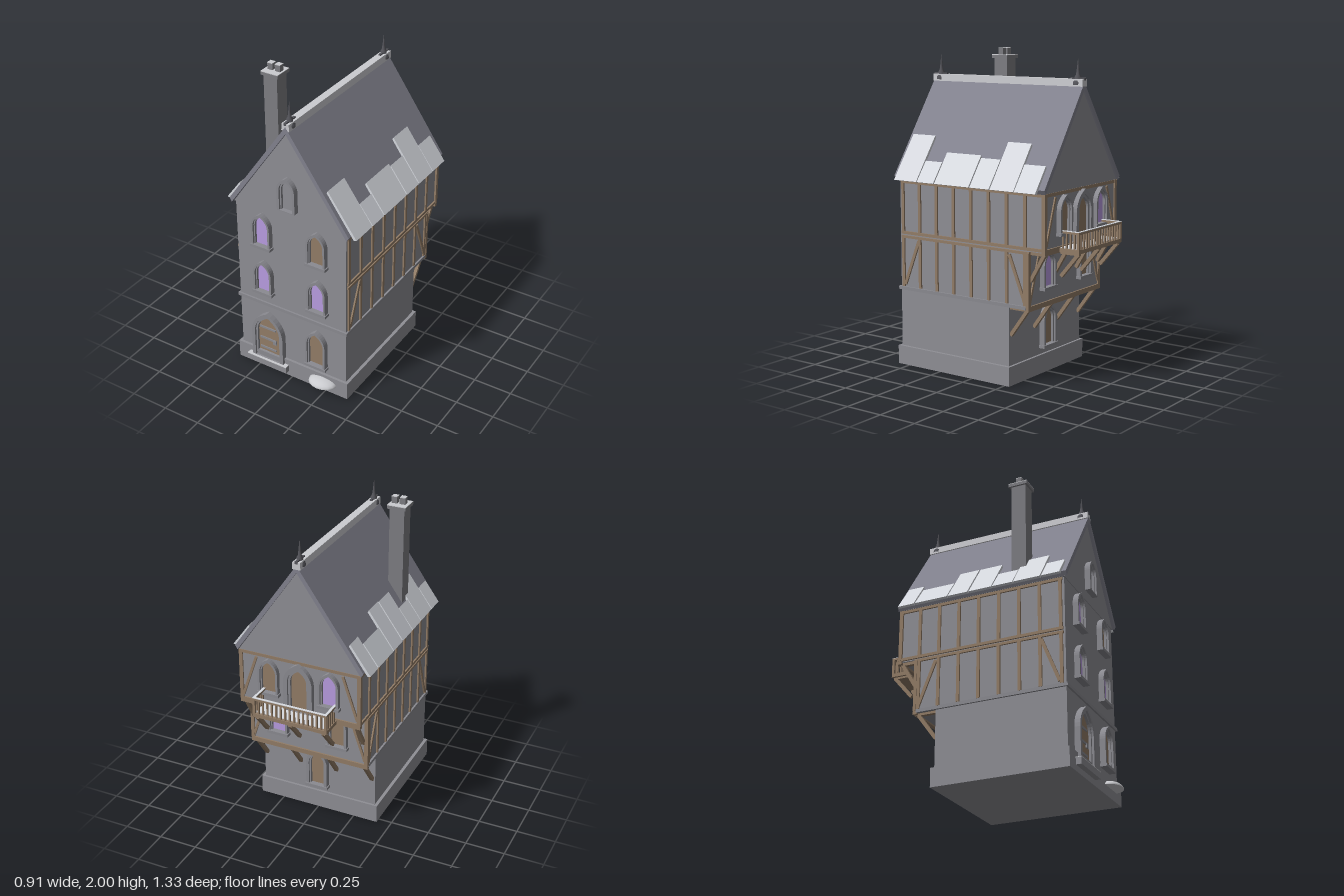
import * as THREE from 'three';

const mat = (name, color) => {
  const m = new THREE.MeshStandardMaterial({ color });
  m.name = name;
  return m;
};

export function createModel() {
  const stone = mat('wall stone', 0x8f8f95);
  const trim = mat('trim stone', 0x8b8b91);
  const chimneyStone = mat('chimney stone', 0x7e7e83);
  const slate = mat('roof slate', 0x83838f);
  const frost = mat('frosted slate', 0xd8dbe1);
  const timber = mat('timber', 0x937d67);
  const glass = mat('violet glass', 0xb99de2);
  const iron = mat('dark iron', 0x55555b);
  const pale = mat('pale stone', 0xcbccd0);

  const house = new THREE.Group();
  house.name = 'townHouse';

  const add = (name, geo, m, parent = house) => {
    const mesh = new THREE.Mesh(geo, m);
    mesh.name = name;
    parent.add(mesh);
    return mesh;
  };
  // Box given by its extents
  const box = (name, m, x0, x1, y0, y1, z0, z1, parent) => {
    const b = add(name, new THREE.BoxGeometry(x1 - x0, y1 - y0, z1 - z0), m, parent);
    b.position.set((x0 + x1) / 2, (y0 + y1) / 2, (z0 + z1) / 2);
    return b;
  };
  // Square beam between two points
  const beam = (name, a, b, t = 0.022, t2 = t) => {
    const p = new THREE.Vector3(...a), q = new THREE.Vector3(...b);
    const mesh = add(name, new THREE.BoxGeometry(t, t2, p.distanceTo(q)), timber);
    mesh.position.copy(p).add(q).multiplyScalar(0.5);
    mesh.lookAt(q);
    return mesh;
  };
  const polygon = pts => new THREE.Shape(pts.map(p => new THREE.Vector2(...p)));
  const extrude = (shape, depth) =>
    new THREE.ExtrudeGeometry(shape, { depth, bevelEnabled: false, curveSegments: 8 });

  // Storeys, jettied out at the back
  box('plinth', stone, -0.41, 0.41, 0, 0.12, -0.285, 0.587);
  box('groundFloor', stone, -0.39, 0.39, 0.12, 0.49, -0.27, 0.57);
  box('middleFloor', stone, -0.39, 0.39, 0.49, 0.84, -0.41, 0.57);
  box('upperFloor', stone, -0.39, 0.39, 0.84, 1.2, -0.525, 0.57);
  box('stringCourse', trim, -0.402, 0.402, 0.487, 0.508, -0.4, 0.582);

  // Gable and roof
  add('gable', extrude(polygon([[-0.4, 1.19], [0.4, 1.19], [0, 1.775]]), 1.105), stone).position.z = -0.53;
  add('roof', extrude(polygon([[0, 1.815], [-0.42, 1.214], [-0.405, 1.188], [0, 1.77], [0.405, 1.188], [0.42, 1.214]]), 1.135), slate)
    .position.z = -0.542;
  add('ridgeCap', extrude(polygon([[-0.027, 1.79], [0.027, 1.79], [0.024, 1.834], [-0.024, 1.834]]), 1.135), pale)
    .position.z = -0.543;

  // Eaves shingles: z start, z end, x of the upper edge
  const slopeY = x => 1.815 - 1.43 * x;
  const rows = {
    '1': [[-0.5, -0.35, 0.345], [-0.345, -0.175, 0.265], [-0.168, -0.025, 0.335], [-0.017, 0.245, 0.325],
      [0.253, 0.382, 0.365], [0.388, 0.565, 0.262]],
    '-1': [[-0.52, -0.41, 0.325], [-0.4, -0.18, 0.355], [-0.172, -0.04, 0.288], [-0.03, 0.12, 0.29],
      [0.127, 0.26, 0.36], [0.265, 0.44, 0.298], [0.448, 0.565, 0.36]],
  };
  for (const side of [1, -1]) {
    for (const [z0, z1, x] of rows[side]) {
      const s = polygon([[x * side, slopeY(x) + 0.025], [(x - 0.008) * side, slopeY(x) + 0.01],
        [0.437 * side, slopeY(0.437)], [0.456 * side, slopeY(0.456) + 0.032]]);
      add('shingle', extrude(s, z1 - z0), frost).position.z = z0;
    }
  }

  // Finials
  const finialProfile = [[0.034, 1.8], [0.033, 1.818], [0.018, 1.836], [0.021, 1.846], [0.012, 1.86], [0.008, 1.89], [0.001, 1.955]]
    .map(p => new THREE.Vector2(...p));
  for (const z of [0.545, -0.495]) {
    add('finial', new THREE.LatheGeometry(finialProfile, 10), iron).position.z = z;
    box('finialFoot', iron, -0.008, 0.008, 1.825, 1.842, z - 0.05, z + 0.05);
  }

  // Chimney with pale top faces
  box('chimneyShaft', chimneyStone, -0.345, -0.25, 1.2, 1.935, 0.207, 0.305);
  box('chimneyCap', chimneyStone, -0.357, -0.236, 1.932, 1.952, 0.195, 0.317);
  box('chimneyCapTop', pale, -0.357, -0.236, 1.952, 1.956, 0.195, 0.317);
  for (const x of [-0.319, -0.266]) {
    box('chimneyPot', chimneyStone, x - 0.018, x + 0.018, 1.95, 1.996, 0.238, 0.274);
    box('chimneyPotTop', pale, x - 0.018, x + 0.018, 1.996, 2, 0.238, 0.274);
  }

  // Pointed arch openings
  const arch = (path, w, h, y0 = 0) => {
    path.moveTo(-w, y0);
    path.lineTo(w, y0);
    path.lineTo(w, h - 1.4 * w);
    path.quadraticCurveTo(w * 0.95, h - 0.5 * w, 0, h);
    path.quadraticCurveTo(-w * 0.95, h - 0.5 * w, -w, h - 1.4 * w);
    path.lineTo(-w, y0);
    return path;
  };
  const ring = (name, parent, w, h, wi, hi, depth) => {
    const s = arch(new THREE.Shape(), w, h);
    s.holes.push(arch(new THREE.Path(), wi, hi, 0.004));
    add(name, extrude(s, depth), trim, parent);
  };
  const opening = (name, x, y, z, w, h, pane, { back = false, sill = true, rim = 0.021 } = {}) => {
    const g = new THREE.Group();
    g.name = name;
    g.position.set(x, y, z);
    if (back) g.rotation.y = Math.PI;
    house.add(g);
    ring('surround', g, w, h, w - rim * 0.65, h - rim * 0.75, 0.037);
    ring('innerSurround', g, w - rim * 0.6, h - rim * 0.7, w - rim, h - rim * 1.2, 0.024);
    add('pane', extrude(arch(new THREE.Shape(), w - rim * 0.9, h - rim), 0.008), pane, g);
    if (sill) box('sill', trim, -w - 0.006, w + 0.006, -0.014, 0.004, 0, 0.043, g);
    return g;
  };
  // Front
  opening('window', -0.197, 0.94, 0.568, 0.066, 0.228, glass);
  opening('window', 0.195, 0.94, 0.568, 0.066, 0.228, timber);
  for (const x of [-0.197, 0.195]) opening('window', x, 0.598, 0.568, 0.066, 0.226, glass);
  opening('window', 0.185, 0.178, 0.57, 0.072, 0.262, timber);
  opening('gableWindow', 0, 1.258, 0.574, 0.062, 0.225, stone, { sill: false, rim: 0.025 });
  // Back
  opening('window', 0, 0.178, -0.274, 0.072, 0.262, timber, { back: true, rim: 0.028 });
  opening('window', 0.2, 0.598, -0.405, 0.066, 0.226, glass, { back: true });
  opening('window', -0.2, 0.598, -0.405, 0.066, 0.226, timber, { back: true });
  opening('window', 0.2, 0.94, -0.519, 0.066, 0.228, timber, { back: true });
  opening('window', -0.2, 0.94, -0.519, 0.066, 0.228, glass, { back: true });
  opening('balconyDoor', 0, 0.855, -0.519, 0.095, 0.325, timber, { back: true, sill: false, rim: 0.042 });

  // Front door with straps and step
  const door = opening('frontDoor', -0.173, 0.08, 0.57, 0.116, 0.358, timber, { sill: false, rim: 0.035 });
  box('threshold', trim, -0.085, 0.085, 0, 0.04, 0, 0.025, door);
  for (const y of [0.06, 0.135, 0.22]) box('strap', trim, -0.07, 0.05, y, y + 0.014, 0.006, 0.014, door);
  box('latch', trim, 0.03, 0.055, 0.118, 0.145, 0.006, 0.018, door);
  box('doorStep', stone, -0.322, -0.025, 0.037, 0.079, 0.56, 0.622);
  box('doorStepTop', pale, -0.322, -0.025, 0.079, 0.083, 0.56, 0.622);

  // Low mound against the plinth
  const mound = add('mound', new THREE.SphereGeometry(1, 16, 6, 0, Math.PI * 2, 0, Math.PI / 2), pale);
  mound.scale.set(0.097, 0.038, 0.075);
  mound.position.set(0.232, 0.062, 0.588);
  const moundBase = add('moundBase', new THREE.CircleGeometry(1, 16), pale);
  moundBase.rotation.x = Math.PI / 2;
  moundBase.scale.set(0.097, 0.075, 1);
  moundBase.position.copy(mound.position);

  // Timber framing on the side walls
  for (const side of [1, -1]) {
    const x0 = side > 0 ? 0.385 : -0.4, x1 = x0 + 0.015, xm = (x0 + x1) / 2;
    for (let i = 0; i < 9; i++) {
      const z = 0.545 - i * 0.1335;
      if (i < 8) box('post', timber, x0, x1, 0.51, 0.83, z - 0.01, z + 0.01);
      box('post', timber, x0, x1, 0.86, 1.18, z - 0.01, z + 0.01);
    }
    box('rail', timber, x0, x1, 0.822, 0.838, -0.42, 0.56);
    box('rail', timber, x0, x1, 0.847, 0.865, -0.53, 0.56);
    box('rail', timber, x0, x1, 1.17, 1.188, -0.53, 0.56);
    beam('brace', [xm, 0.525, 0.532], [xm, 0.81, 0.42], 0.015, 0.02);
    beam('brace', [xm, 0.525, -0.39], [xm, 0.81, -0.275], 0.015, 0.02);
    // Back corners
    const c = side * 0.39;
    box('cornerPost', timber, c - 0.012, c + 0.012, 0.5, 0.83, -0.42, -0.4);
    box('cornerPost', timber, c - 0.012, c + 0.012, 0.85, 1.19, -0.534, -0.51);
    beam('brace', [side * 0.38, 0.53, -0.409], [side * 0.285, 0.81, -0.409], 0.02, 0.016);
    beam('brace', [side * 0.38, 0.88, -0.524], [side * 0.285, 1.16, -0.524], 0.02, 0.016);
  }
  // Back rails and jetty beams
  box('jettyBeam', timber, -0.4, 0.4, 0.477, 0.508, -0.42, -0.395);
  box('backRail', timber, -0.4, 0.4, 0.815, 0.835, -0.418, -0.405);
  box('jettyBeam', timber, -0.4, 0.4, 0.826, 0.862, -0.534, -0.51);
  box('backRail', timber, -0.4, 0.4, 1.17, 1.19, -0.533, -0.52);
  for (const x of [-0.37, -0.125, 0.125, 0.37]) {
    box('joist', timber, x - 0.012, x + 0.012, 0.472, 0.49, -0.41, -0.265);
    beam('bracket', [x, 0.31, -0.272], [x, 0.475, -0.392]);
    box('joist', timber, x - 0.012, x + 0.012, 0.82, 0.84, -0.525, -0.405);
    beam('bracket', [x, 0.66, -0.415], [x, 0.825, -0.512]);
  }

  // Balcony
  box('balconyFloor', timber, -0.245, 0.245, 0.828, 0.852, -0.668, -0.53);
  box('balconyPaving', frost, -0.235, 0.235, 0.852, 0.857, -0.65, -0.53);
  const rails = [[-0.245, 0.245, -0.668, -0.652], [-0.245, -0.229, -0.652, -0.53], [0.229, 0.245, -0.652, -0.53]];
  for (const [x0, x1, z0, z1] of rails) {
    box('handrail', timber, x0, x1, 0.943, 0.956, z0, z1);
    box('handrailTop', frost, x0, x1, 0.956, 0.959, z0, z1);
  }
  const baluster = (x, z, r = 0.005) => box('baluster', timber, x - r, x + r, 0.85, 0.945, z - r, z + r);
  for (let i = 0; i <= 16; i++) baluster(-0.237 + i * 0.474 / 16, -0.66, i % 16 ? 0.005 : 0.008);
  for (const x of [-0.237, 0.237]) for (let i = 1; i < 5; i++) baluster(x, -0.66 + i * 0.027);
  for (const x of [-0.22, 0, 0.22]) {
    box('balconyJoist', timber, x - 0.011, x + 0.011, 0.815, 0.83, -0.66, -0.53);
    beam('balconyBracket', [x, 0.68, -0.532], [x, 0.82, -0.65]);
  }
  return house;
}
